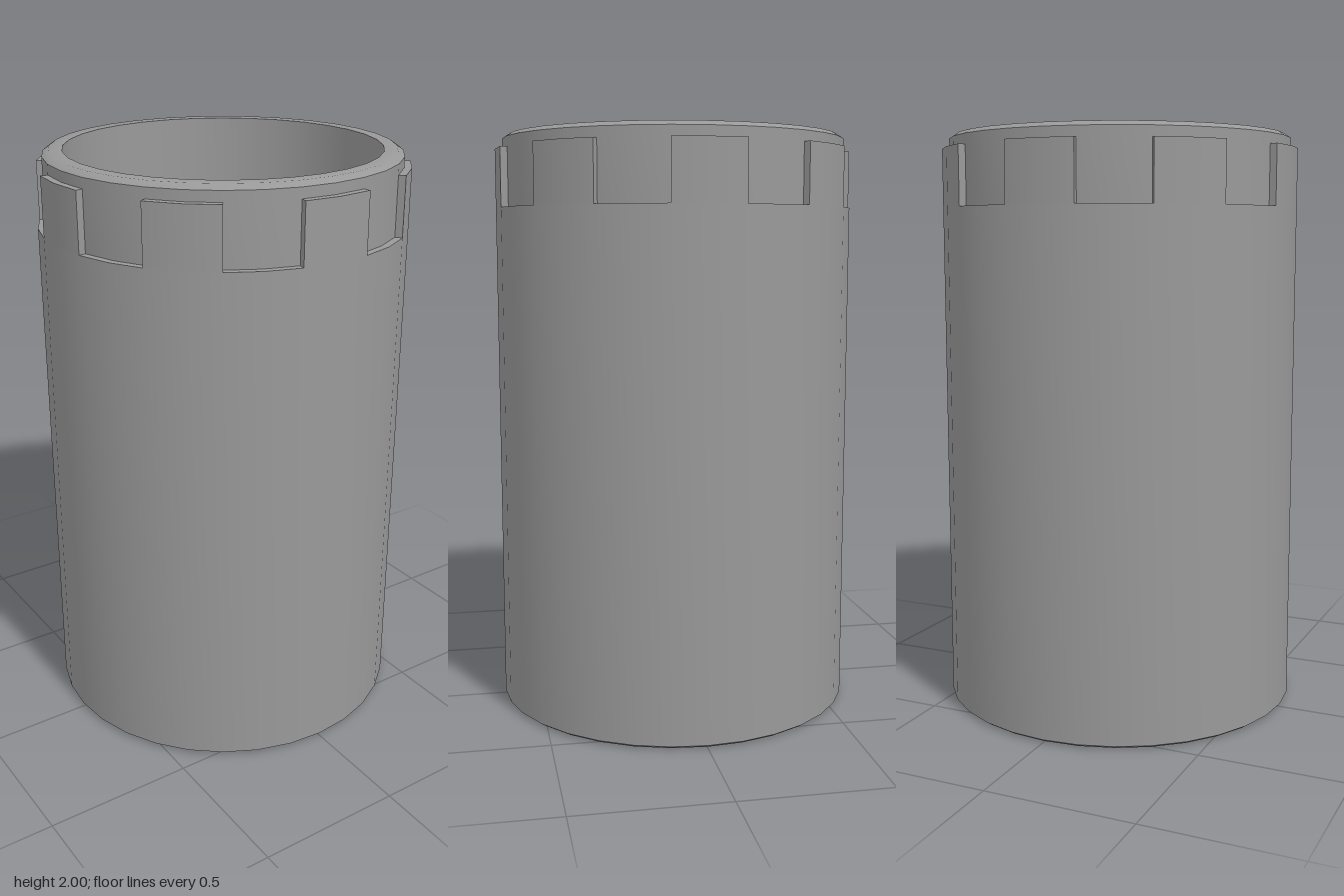
import * as THREE from 'three';
import { toCreasedNormals } from 'three/addons/utils/BufferGeometryUtils.js';

const SIDES = 32;
const STEP = (Math.PI * 2) / SIDES;
const OUTER = 0.622, NECK = 0.597, INNER = 0.53;
const LEDGE = 1.75, TAB_TOP = 1.95;

// One raised tab: a two-facet ring sector standing on the ledge
function tabGeometry() {
  const at = (r, i) => new THREE.Vector2(r * Math.sin(i * STEP), -r * Math.cos(i * STEP));
  const shape = new THREE.Shape([
    at(OUTER, -1), at(OUTER, 0), at(OUTER, 1),
    at(NECK, 1), at(NECK, 0), at(NECK, -1),
  ]);
  let geo = new THREE.ExtrudeGeometry(shape, { depth: TAB_TOP - LEDGE, bevelEnabled: false });
  geo.rotateX(-Math.PI / 2).translate(0, LEDGE, 0);
  geo = toCreasedNormals(geo, 0.6);

  // Radial normals on the outer face, so it shades on from the tube wall
  const p = geo.attributes.position, n = geo.attributes.normal;
  const radial = new THREE.Vector3(), normal = new THREE.Vector3();
  for (let i = 0; i < p.count; i++) {
    radial.set(p.getX(i), 0, p.getZ(i)).normalize();
    normal.fromBufferAttribute(n, i);
    if (normal.dot(radial) > 0.9) n.setXYZ(i, radial.x, 0, radial.z);
  }
  return geo;
}

export function createModel() {
  const group = new THREE.Group();
  const material = new THREE.MeshStandardMaterial({ color: 0x999999 });

  // Hollow tube with a stepped neck; the rim chamfers blend into the flat ends
  const profile = [
    [INNER, 0], [0.606, 0], [OUTER, 0.011],
    [OUTER, LEDGE], [NECK, LEDGE],
    [NECK, 1.985], [0.575, 2],
    [INNER, 2], [INNER, 0],
  ].map(([r, y]) => new THREE.Vector2(r, y));
  const tube = new THREE.Mesh(
    toCreasedNormals(new THREE.LatheGeometry(profile, SIDES), 0.7), material);
  tube.name = 'tube';
  group.add(tube);

  // Eight tabs with equal gaps around the neck
  const tabs = new THREE.Group();
  tabs.name = 'tabs';
  const tab = tabGeometry();
  for (let i = 0; i < 8; i++) {
    const mesh = new THREE.Mesh(tab, material);
    mesh.name = 'tab' + (i + 1);
    mesh.rotation.y = (i * Math.PI) / 4;
    tabs.add(mesh);
  }
  group.add(tabs);
  return group;
}
